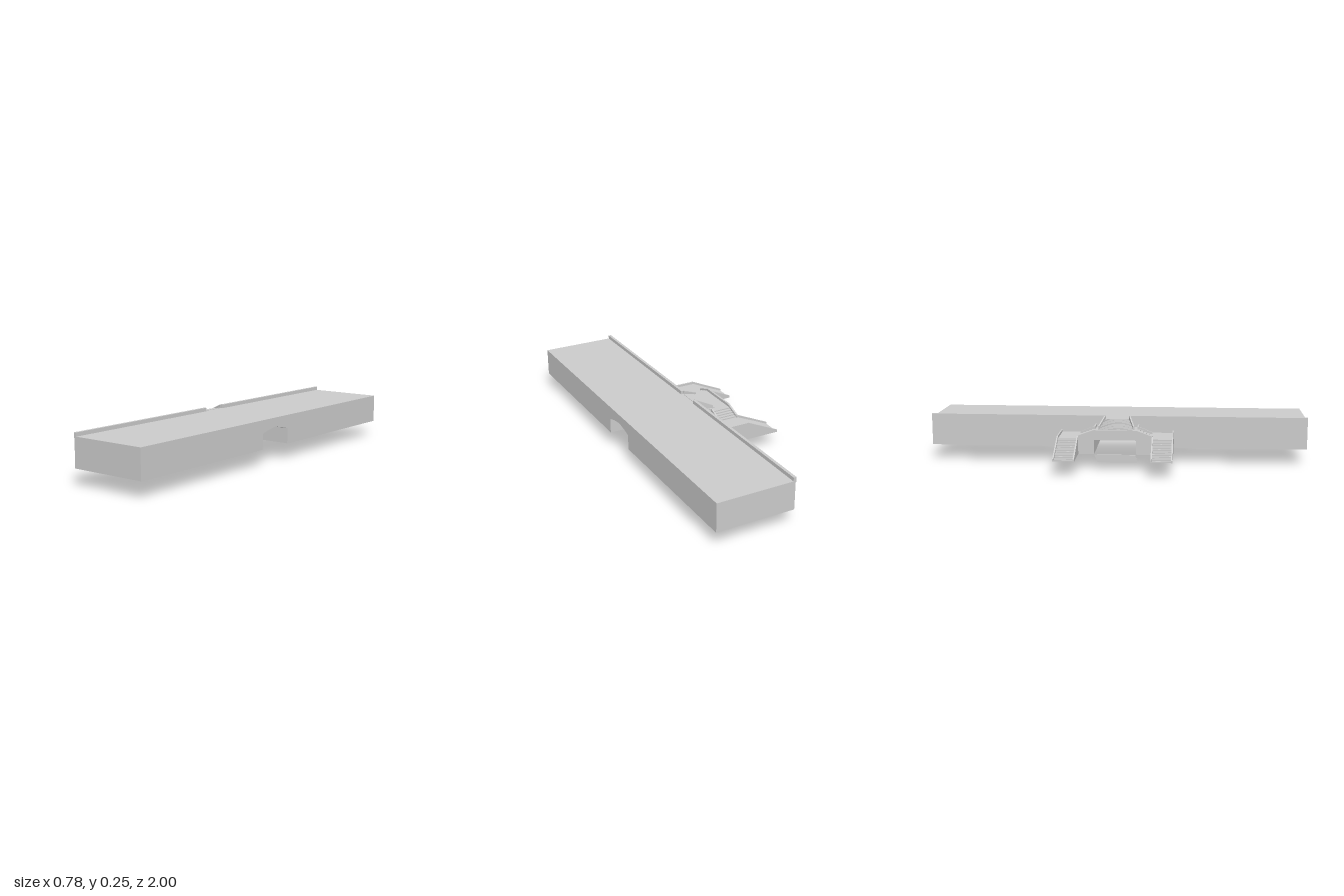
import * as THREE from 'three';

const material = new THREE.MeshStandardMaterial({ color: 0xcccccc, flatShading: true });
const thin = new THREE.MeshStandardMaterial({ color: 0xcccccc, flatShading: true, side: THREE.DoubleSide });

export function createModel() {
  const model = new THREE.Group();

  const add = (name, geometry, mat = material) => {
    const mesh = new THREE.Mesh(geometry, mat);
    mesh.name = name;
    model.add(mesh);
    return mesh;
  };
  const box = (name, x0, x1, y0, y1, z0, z1) =>
    add(name, new THREE.BoxGeometry(x1 - x0, y1 - y0, Math.abs(z1 - z0))
      .translate((x0 + x1) / 2, (y0 + y1) / 2, (z0 + z1) / 2));
  const extrude = (points, depth) => new THREE.ExtrudeGeometry(
    new THREE.Shape(points.map(p => new THREE.Vector2(...p))), { depth, bevelEnabled: false });
  // (x, y) outline extruded between two z values
  const alongZ = (name, points, z0, z1) =>
    add(name, extrude(points, Math.abs(z1 - z0)).translate(0, 0, Math.min(z0, z1)));
  // (z, y) outline extruded between two x values
  const alongX = (name, points, x0, x1) =>
    add(name, extrude(points.map(([z, y]) => [-z, y]), x1 - x0).rotateY(Math.PI / 2).translate(x0, 0, 0));

  // Long deck with a gabled passage through its underside
  alongX('deck', [
    [-1, 0.083], [-0.108, 0.083], [-0.108, 0.163], [-0.06, 0.176], [0, 0.186], [0.06, 0.176],
    [0.108, 0.163], [0.108, 0.083], [1, 0.083], [1, 0.233], [-1, 0.233]
  ], -0.022, 0.39);

  // Bridge platform between the two side landings
  box('bridgePlatform', -0.2, -0.022, 0.157, 0.193, -0.11, 0.11);

  // Parapet on the outer edge of the bridge, ramping down to the landings
  alongX('bridgeParapet', [
    [-0.19, 0.155], [0.19, 0.155], [0.19, 0.178], [0.11, 0.207], [-0.11, 0.207], [-0.19, 0.178]
  ], -0.208, -0.198);

  // Upper flight: curved steps that narrow towards the gap in the deck parapet
  const halfWidth = x => 0.065 + (-0.02 - x) * 0.28;
  const upperSteps = 10;
  for (let i = 0; i < upperSteps; i++) {
    const front = -0.155 + i * 0.012;
    const w = halfWidth(Math.max(front + 0.02, -0.11));
    const outline = [];
    for (let k = 0; k <= 10; k++) {
      const t = k / 5 - 1;
      outline.push([Math.min(front + 0.025 * t * t, -0.023), t * w]);
    }
    outline.push([-0.021, 0.065], [-0.021, -0.065]);
    add('upperStep', extrude(outline, 0.0042)
      .rotateX(-Math.PI / 2).translate(0, 0.193 + i * 0.0042, 0));
  }

  for (const s of [-1, 1]) {
    // Deck parapet, open in the middle
    box('deckParapet', -0.025, -0.01, 0.225, 0.252, s * 0.067, s);

    // Splayed wall beside the upper flight
    const wall = extrude([[-0.115, 0.193], [-0.022, 0.193], [-0.022, 0.252], [-0.115, 0.211]], 0.007);
    const p = wall.attributes.position;
    for (let i = 0; i < p.count; i++) {
      p.setZ(i, p.getZ(i) - 0.0035 + s * halfWidth(p.getX(i)));
    }
    wall.computeVertexNormals();
    add('upperStairWall', wall);

    // Side landing with its low outer wall
    box('landing', -0.2, -0.022, 0.08, 0.163, s * 0.108, s * 0.3);
    box('landingWall', -0.205, -0.022, 0.08, 0.175, s * 0.293, s * 0.3);

    // Outer flight with sloping side walls
    const n = 14, run = (0.385 - 0.2) / n, rise = (0.163 - 0.08) / n;
    const stepped = [[-0.2, 0.08], [-0.385, 0.08]];
    for (let i = 0; i < n; i++) {
      stepped.push([-0.385 + i * run, 0.08 + (i + 1) * rise]);
      stepped.push([-0.385 + (i + 1) * run, 0.08 + (i + 1) * rise]);
    }
    alongZ('outerStairs', stepped, s * 0.197, s * 0.293);
    const slope = [[-0.39, 0.08], [-0.2, 0.08], [-0.2, 0.175], [-0.208, 0.175], [-0.39, 0.092]];
    alongZ('outerStairWall', slope, s * 0.19, s * 0.197);
    alongZ('outerStairWall', slope, s * 0.293, s * 0.3);

    // Short steps from the landing up to the bridge
    for (let i = 0; i < 5; i++) {
      box('bridgeStep', -0.2, -0.095, 0.16, 0.169 + i * 0.006, s * 0.108, s * (0.19 - i * 0.016));
    }
    alongX('bridgeStepWall', [
      [s * 0.11, 0.16], [s * 0.19, 0.16], [s * 0.19, 0.178], [s * 0.12, 0.207], [s * 0.11, 0.207]
    ], -0.097, -0.09);
    box('platformWall', -0.095, -0.022, 0.16, 0.207, s * 0.11, s * 0.118);
  }

  // Thin folded flight going down under the bridge
  const steps = 20;
  const lower = new THREE.PlaneGeometry(0.212, 1, 1, steps * 2);
  const v = lower.attributes.position;
  for (let i = 0; i < v.count; i++) {
    const row = Math.floor(i / 2);
    v.setXYZ(i, -0.215 + Math.ceil(row / 2) * 0.185 / steps,
      0.08 - Math.floor(row / 2) * 0.08 / steps, v.getX(i));
  }
  lower.computeVertexNormals();
  add('lowerStairs', lower, thin);

  return model;
}
